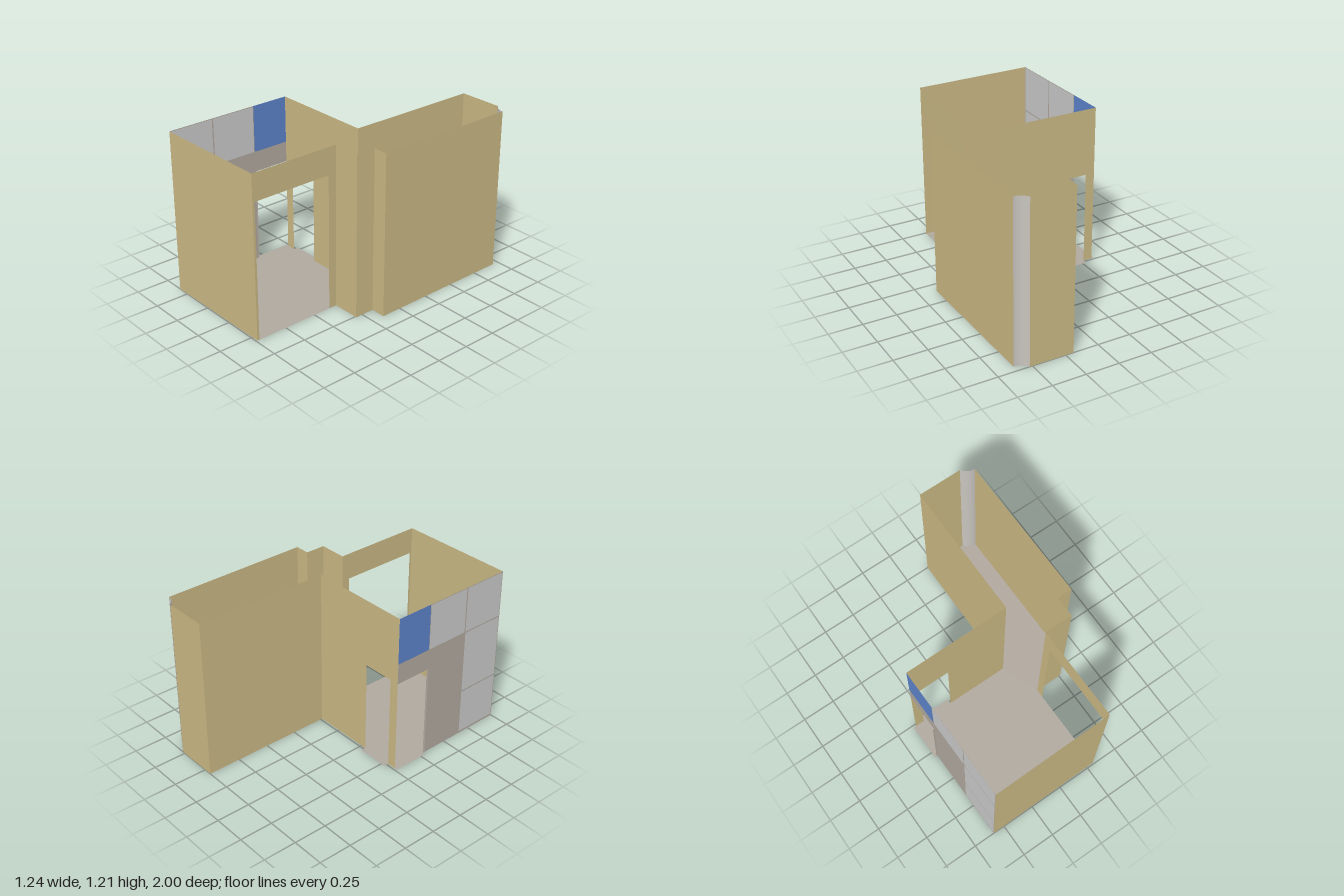
import * as THREE from 'three';

const HEIGHT = 1.21;

function material(name, color) {
  const m = new THREE.MeshStandardMaterial({ color, side: THREE.DoubleSide });
  m.name = name;
  return m;
}

const rectPoints = (u0, u1, v0, v1) =>
  [[u0, v0], [u1, v0], [u1, v1], [u0, v1]].map(([u, v]) => new THREE.Vector2(u, v));

export function createModel() {
  const model = new THREE.Group();
  model.name = 'roomShell';
  const tan = material('wallTan', 0xc9b783);
  const taupe = material('floorTaupe', 0xb0a89e);
  const glass = material('paneGrey', 0xc9c9c9);
  const blue = material('windowBlue', 0x5d82c9);
  const pale = material('columnGrey', 0xc8c4be);

  // Flat upright sheet: u runs along the wall from a to b ([x, z]), v runs up
  function sheet(name, mat, a, b, shape) {
    const mesh = new THREE.Mesh(new THREE.ShapeGeometry(shape), mat);
    mesh.name = name;
    mesh.position.set(a[0], 0, a[1]);
    mesh.rotation.y = Math.atan2(a[1] - b[1], b[0] - a[0]);
    model.add(mesh);
  }
  const panel = (name, mat, a, b, ...rect) =>
    sheet(name, mat, a, b, new THREE.Shape(rectPoints(...rect)));

  // Full-height wall with an optional doorway [u0, u1, top]
  function wall(name, a, b, door) {
    const length = Math.hypot(b[0] - a[0], b[1] - a[1]);
    const points = [[0, 0]];
    if (door) {
      const [u0, u1, top] = door;
      points.push([u0, 0], [u0, top], [u1, top], [u1, 0]);
    }
    points.push([length, 0], [length, HEIGHT], [0, HEIGHT]);
    sheet(name, tan, a, b, new THREE.Shape(points.map(p => new THREE.Vector2(...p))));
  }

  // Corners of the room, as [x, z]
  const frontLeft = [0.305, 0.99], frontRight = [-0.59, 1.0];
  const backRight = [-0.6, 0.015], corridorInner = [0.19, 0.015];
  const corridorBack = [0.19, -1], columnStart = [0.52, -1], columnEnd = [0.61, -0.95];
  const stepA = [0.62, 0.155], stepB = [0.51, 0.155], stepC = [0.51, 0.305], stepD = [0.3, 0.305];

  // Tan walls
  wall('frontWall', frontRight, frontLeft);
  wall('doorwayWall', frontLeft, stepD, [0.017, 0.623, 1.01]);
  wall('lowerStepFace', stepD, stepC);
  wall('lowerStepSide', stepC, stepB);
  wall('upperStepFace', stepB, stepA);
  wall('corridorOuterWall', stepA, columnEnd);
  wall('corridorEndWall', columnStart, corridorBack);
  wall('corridorInnerWall', corridorBack, corridorInner);
  wall('backWall', corridorInner, backRight, [0.48, 0.72, 0.705]);

  // Glazed wall: frame with holes filled by panes
  const frame = new THREE.Shape(rectPoints(0, 0.7, 0, HEIGHT));
  const panes = [
    [0.005, 0.345, 0.015, 0.36],
    [0.005, 0.345, 0.37, 0.85],
    [0.005, 0.345, 0.86, 1.205],
    [0.355, 0.695, 0.86, 1.205],
  ];
  for (const pane of panes) {
    frame.holes.push(new THREE.Path(rectPoints(...pane).reverse()));
    panel('windowPane', glass, frontRight, backRight, ...pane);
  }
  sheet('windowFrame', taupe, frontRight, backRight, frame);
  panel('sideDoorLintel', taupe, frontRight, backRight, 0.7, 0.985, 0.705, 0.86);
  panel('blueWindow', blue, frontRight, backRight, 0.7, 0.985, 0.86, HEIGHT);
  panel('sideDoorJamb', taupe, [-0.606, 0.295], [-0.59, 0.295], 0, 0.016, 0, 0.705);

  // Rounded corner column, bulging into the corridor
  const column = new THREE.Mesh(
    new THREE.CylinderGeometry(0.102, 0.102, HEIGHT, 16, 1, true, -1.064, 1.064), pale);
  column.name = 'cornerColumn';
  column.position.set(0.61, HEIGHT / 2, -1.051);
  model.add(column);

  // Floor, including the sills of the two small doorways
  const arc = [[0.535, -0.978], [0.555, -0.963], [0.58, -0.953]];
  const outline = [
    corridorBack, columnStart, ...arc, columnEnd, stepA, stepB, stepC, stepD, frontLeft, frontRight,
    [-0.597, 0.29], [-0.62, 0.29], [-0.62, 0.015], [-0.53, 0.015],
    [-0.53, -0.022], [-0.29, -0.022], [-0.29, 0.015], corridorInner,
  ];
  const floorShape = new THREE.Shape(outline.map(([x, z]) => new THREE.Vector2(x, -z)));
  const floor = new THREE.Mesh(new THREE.ShapeGeometry(floorShape), taupe);
  floor.name = 'floor';
  floor.rotation.x = -Math.PI / 2;
  model.add(floor);

  return model;
}
